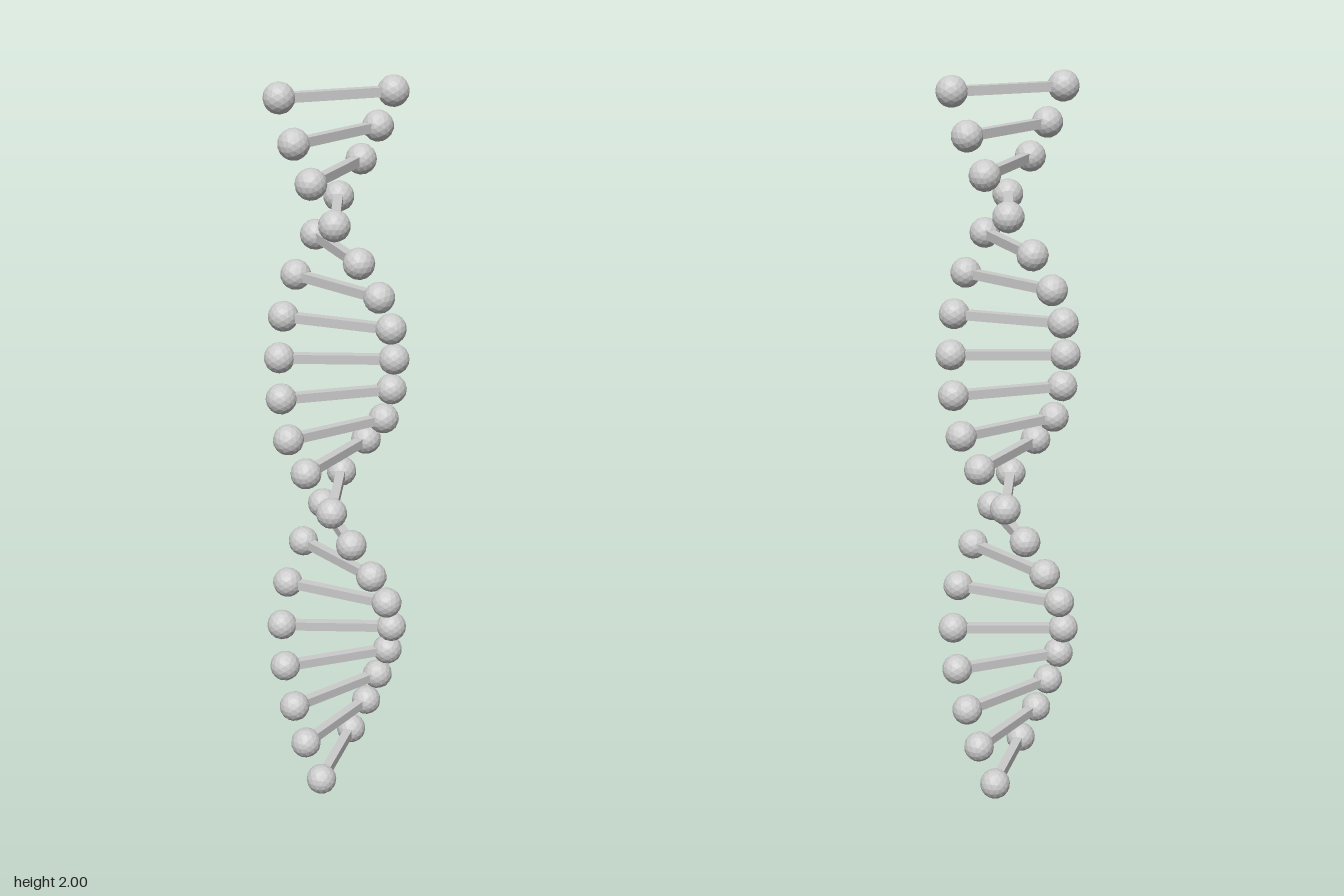
import * as THREE from 'three';

// Height and turn (degrees, from +x toward +z) of every rung, bottom to top
const RUNGS = [
  [0.042, -384], [0.147, -366], [0.247, -350], [0.35, -330], [0.45, -308],
  [0.553, -284], [0.657, -258], [0.762, -235], [0.858, -215], [0.963, -188],
  [1.042, -163], [1.143, -145], [1.244, -128], [1.345, -109], [1.447, -86],
  [1.549, -62], [1.652, -38], [1.757, -15], [1.853, 5], [1.958, 32.5],
];
const HELIX_RADIUS = 0.154;
const BALL_RADIUS = 0.042;
const BAR = 0.025;

export function createModel() {
  const group = new THREE.Group();
  group.name = 'doubleHelix';
  const material = new THREE.MeshStandardMaterial({ color: 0xcccccc, flatShading: true });
  const ballGeometry = new THREE.IcosahedronGeometry(BALL_RADIUS, 2);

  // Half a rung, reaching from the axis into the ball
  const barGeometry = new THREE.BoxGeometry(HELIX_RADIUS, BAR, BAR);
  barGeometry.translate(HELIX_RADIUS / 2, 0, 0);

  RUNGS.forEach(([y, degrees], i) => {
    const rung = new THREE.Group();
    rung.name = `rung${i + 1}`;
    rung.position.y = y;
    rung.rotation.y = -THREE.MathUtils.degToRad(degrees);

    // Two mirrored halves, each a bar with a ball at its end
    for (const [label, turn] of [['first', 0], ['second', Math.PI]]) {
      const half = new THREE.Group();
      half.name = `${label}Half`;
      half.rotation.y = turn;

      const bar = new THREE.Mesh(barGeometry, material);
      bar.name = `${label}StrandBar`;
      const ball = new THREE.Mesh(ballGeometry, material);
      ball.name = `${label}StrandBall`;
      ball.position.x = HELIX_RADIUS;

      half.add(bar, ball);
      rung.add(half);
    }
    group.add(rung);
  });
  return group;
}
